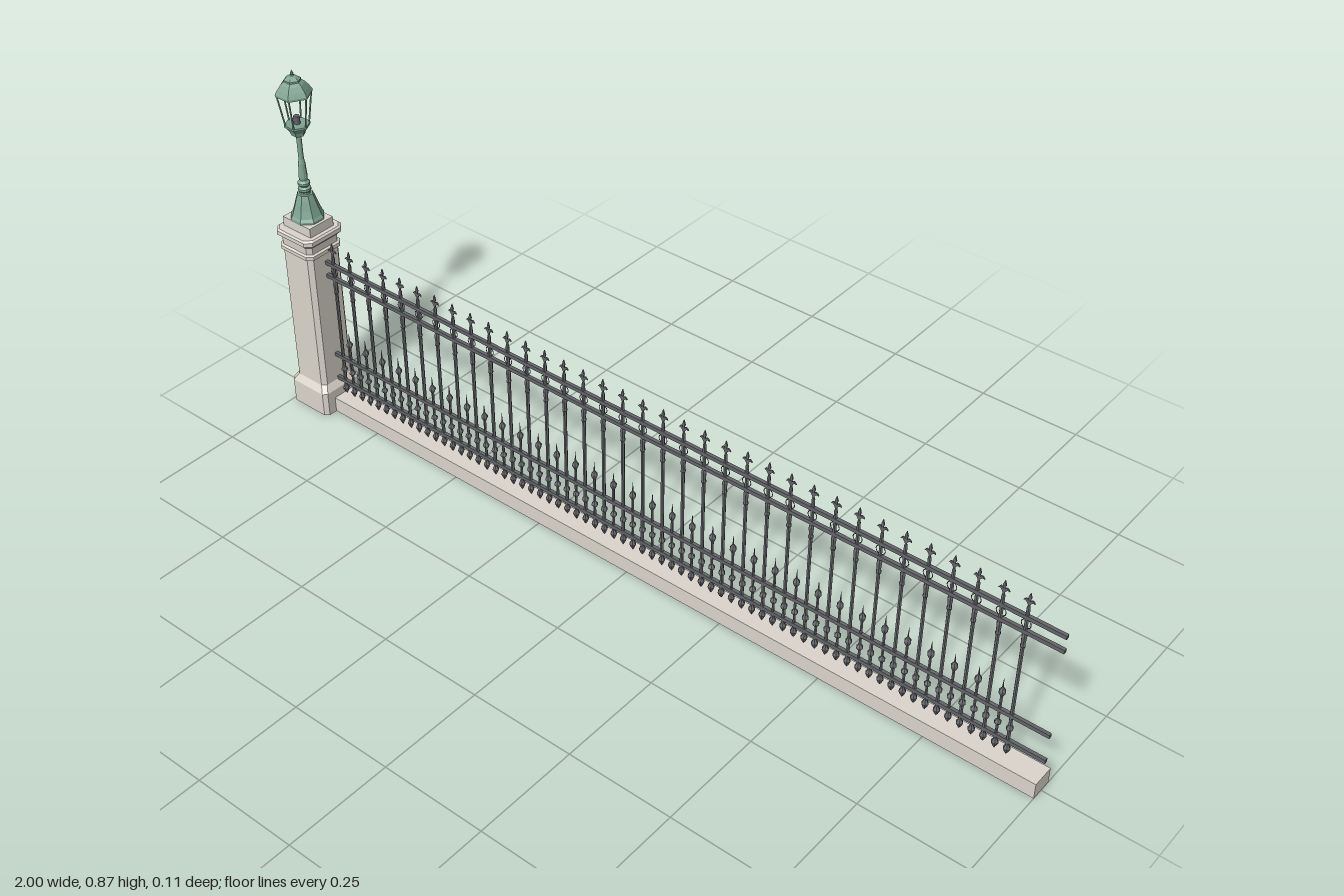
import * as THREE from 'three';

const mat = (name, color) => {
  const m = new THREE.MeshStandardMaterial({ color });
  m.name = name;
  return m;
};

// Facet a geometry so every side reads as a crisp plane
function facet(geo) {
  const g = geo.index ? geo.toNonIndexed() : geo;
  g.computeVertexNormals();
  return g;
}

// Turned part from [radius, y] pairs, listed bottom to top
function turned(profile, sides = 6, turn = Math.PI / 2) {
  const g = new THREE.LatheGeometry(profile.map(([r, y]) => new THREE.Vector2(r, y)), sides);
  return facet(g.rotateY(turn));
}

// Chamfered square column from [y, half width, chamfer] sections
function chamferedColumn(sections) {
  const pos = [], idx = [];
  for (const [y, h, c] of sections) {
    const k = h - c;
    const ring = [[h, k], [k, h], [-k, h], [-h, k], [-h, -k], [-k, -h], [k, -h], [h, -k]];
    for (const [x, z] of ring) pos.push(x, y, z);
  }
  for (let s = 0; s < sections.length - 1; s++) {
    for (let i = 0; i < 8; i++) {
      const a = s * 8 + i, b = s * 8 + (i + 1) % 8;
      idx.push(a, a + 8, b, b, a + 8, b + 8);
    }
  }
  const top = (sections.length - 1) * 8;
  for (let i = 1; i < 7; i++) {
    idx.push(0, i, i + 1);
    idx.push(top, top + i + 1, top + i);
  }
  const g = new THREE.BufferGeometry();
  g.setAttribute('position', new THREE.Float32BufferAttribute(pos, 3));
  g.setIndex(idx);
  return facet(g);
}

export function createModel() {
  const stone = mat('stone', 0xdcd6cd);
  const green = mat('patinaGreen', 0x7fa493);
  const iron = mat('darkIron', 0x64666a);

  const model = new THREE.Group();
  model.name = 'fenceWithLampPost';
  const add = (parent, name, geo, material, x = 0, y = 0, z = 0) => {
    const m = new THREE.Mesh(geo, material);
    m.name = name;
    m.position.set(x, y, z);
    parent.add(m);
    return m;
  };

  // Stone pillar and low plinth
  const post = new THREE.Group();
  post.name = 'lampPost';
  post.position.x = -0.943;
  model.add(post);
  add(post, 'pillar', chamferedColumn([
    [0, 0.057, 0.009], [0.06, 0.057, 0.009], [0.077, 0.047, 0.01],
    [0.424, 0.047, 0.01], [0.426, 0.052, 0.012], [0.435, 0.052, 0.012], [0.438, 0.047, 0.01],
    [0.456, 0.048, 0.01], [0.465, 0.057, 0.014], [0.475, 0.057, 0.014], [0.479, 0.053, 0.014],
  ]), stone);
  add(post, 'pillarCap', new THREE.BoxGeometry(0.086, 0.026, 0.07), stone, 0, 0.489);
  add(model, 'plinth', new THREE.BoxGeometry(1.9, 0.038, 0.054), stone, 0.05, 0.019);

  // Lamp base and pole
  add(post, 'lampPedestal', turned([
    [0.039, 0.501], [0.039, 0.507], [0.035, 0.513], [0.029, 0.53], [0.023, 0.55], [0.018, 0.564], [0, 0.564],
  ], 8, Math.PI / 8), green);
  add(post, 'lampPole', turned([
    [0.012, 0.563], [0.012, 0.569], [0.015, 0.573], [0.015, 0.578], [0.010, 0.582], [0.014, 0.587],
    [0.014, 0.592], [0.009, 0.598], [0.010, 0.605], [0.008, 0.64], [0.006, 0.65], [0.006, 0.712],
  ], 12), green);

  // Lantern seat, open frame, lamp holder and roof
  add(post, 'lanternSeat', turned([
    [0, 0.711], [0.015, 0.711], [0.018, 0.72], [0.025, 0.731], [0.029, 0.733], [0.029, 0.738], [0, 0.738],
  ]), green);
  add(post, 'lampHolder', new THREE.CylinderGeometry(0.007, 0.007, 0.02, 8), iron, 0, 0.747);
  const up = new THREE.Vector3(0, 1, 0);
  for (let i = 0; i < 6; i++) {
    const a = i * Math.PI / 3, c = Math.cos(a), s = Math.sin(a);
    const low = new THREE.Vector3(0.026 * c, 0.736, 0.026 * s);
    const high = new THREE.Vector3(0.038 * c, 0.812, 0.038 * s);
    const dir = high.clone().sub(low);
    const bar = add(post, 'lanternBar', new THREE.CylinderGeometry(0.002, 0.002, dir.length(), 5), green);
    bar.position.copy(low).add(high).multiplyScalar(0.5);
    bar.quaternion.setFromUnitVectors(up, dir.normalize());
  }
  add(post, 'lanternRoof', turned([
    [0, 0.81], [0.041, 0.81], [0.041, 0.815], [0.035, 0.825], [0.027, 0.836], [0.019, 0.842],
    [0.019, 0.846], [0.012, 0.851], [0.004, 0.854], [0.003, 0.857], [0.004, 0.859], [0, 0.868],
  ]), green);

  // Horizontal rails
  for (const y of [0.08, 0.147, 0.365, 0.4]) {
    add(model, 'rail', new THREE.BoxGeometry(1.9, 0.009, 0.008), iron, 0.05, y);
  }

  // Picket foot for a given shaft radius: pointed drop and ball
  const foot = (r) => [
    [0, 0.044], [0.004, 0.05], [0.008, 0.06], [0.004, 0.068], [r, 0.072], [r, 0.106],
    [0.0075, 0.112], [0.0075, 0.115], [r, 0.121],
  ];
  const tallGeo = turned([
    ...foot(0.004), [0.004, 0.324], [0.006, 0.328], [0.0045, 0.333], [0.006, 0.353], [0.004, 0.358],
    [0.004, 0.42], [0.002, 0.428], [0, 0.44],
  ]);
  const shortGeo = turned([
    ...foot(0.003), [0.003, 0.182], [0.0075, 0.192], [0.0075, 0.196], [0.002, 0.205], [0, 0.23],
  ]);

  // Flat three-leaf finial
  const leaf = new THREE.Shape();
  leaf.moveTo(0, 0.458);
  leaf.lineTo(-0.0035, 0.447);
  leaf.lineTo(-0.0012, 0.439);
  leaf.quadraticCurveTo(-0.008, 0.446, -0.012, 0.436);
  leaf.quadraticCurveTo(-0.007, 0.441, -0.0015, 0.428);
  leaf.lineTo(0.0015, 0.428);
  leaf.quadraticCurveTo(0.007, 0.441, 0.012, 0.436);
  leaf.quadraticCurveTo(0.008, 0.446, 0.0012, 0.439);
  leaf.lineTo(0.0035, 0.447);
  leaf.closePath();
  const finialGeo = new THREE.ExtrudeGeometry(leaf, { depth: 0.003, bevelEnabled: false, curveSegments: 4 });
  const ringGeo = new THREE.TorusGeometry(0.0105, 0.001, 4, 12);

  // Alternating tall and short pickets
  const count = 35, first = -0.873, step = 1.79 / (count - 1);
  for (let i = 0; i < count; i++) {
    const x = first + i * step;
    add(model, 'tallPicket', tallGeo, iron, x);
    add(model, 'finial', finialGeo, iron, x, 0, -0.0015);
    add(model, 'railRing', ringGeo, iron, x, 0.3825);
    if (i < count - 1) add(model, 'shortPicket', shortGeo, iron, x + step / 2);
  }
  return model;
}
